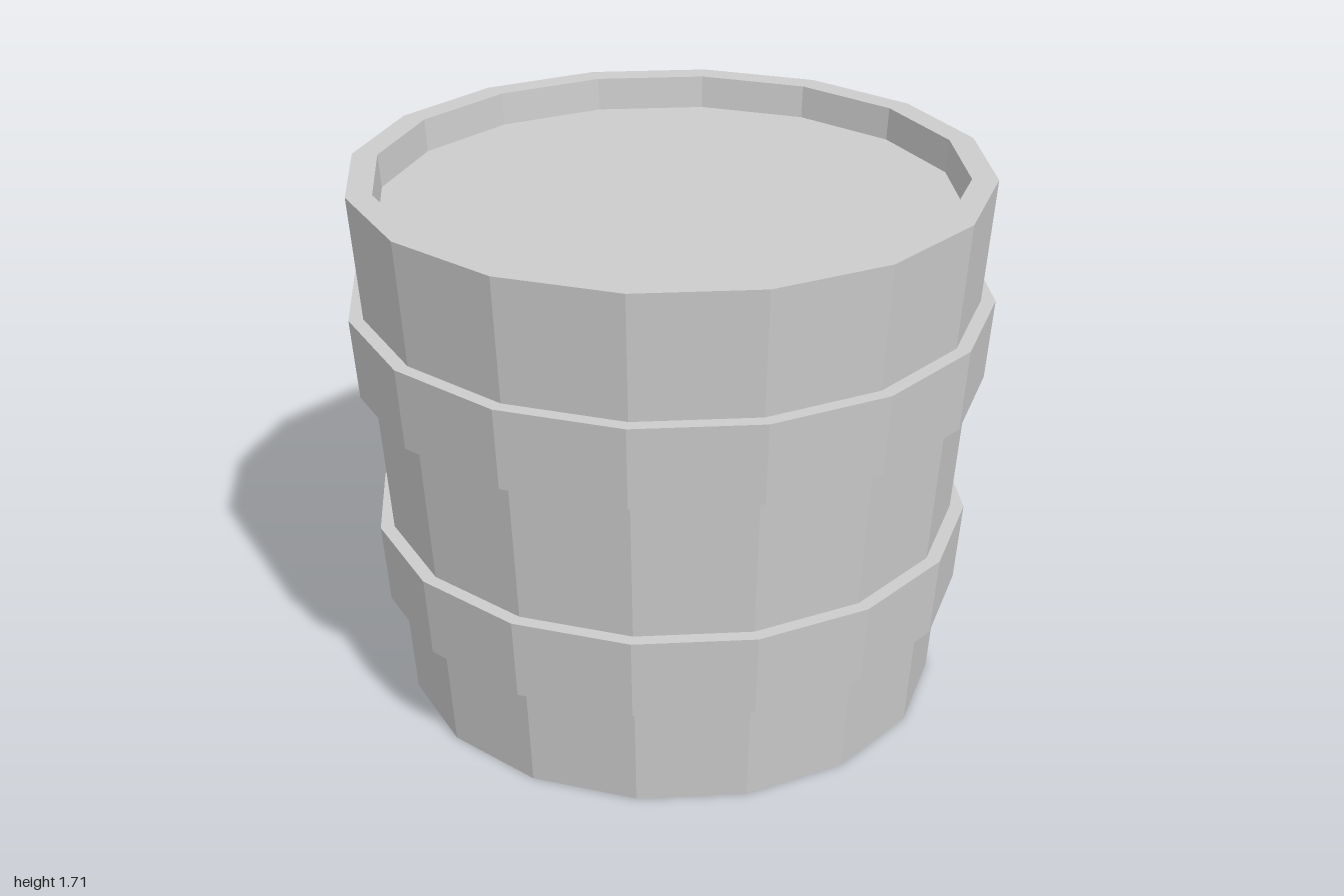
import * as THREE from 'three';

const SIDES = 16;
const HEIGHT = 1.71;
const R_BOTTOM = 0.855;
const R_TOP = 0.985;

// Outer radius of the tapered wall at height y
const wallRadius = (y) => R_BOTTOM + (R_TOP - R_BOTTOM) * (y / HEIGHT);

function lathe(name, profile, material) {
  const points = profile.map(([r, y]) => new THREE.Vector2(r, y));
  const mesh = new THREE.Mesh(new THREE.LatheGeometry(points, SIDES), material);
  mesh.name = name;
  return mesh;
}

export function createModel() {
  const group = new THREE.Group();
  group.name = 'bucket';
  const material = new THREE.MeshStandardMaterial({ color: 0xcccccc, flatShading: true });

  // Tapered staves with closed base, flat rim and inner wall
  const floorY = 1.605;
  group.add(lathe('body', [
    [0, 0], [R_BOTTOM, 0], [R_TOP, HEIGHT], [0.905, HEIGHT], [0.897, floorY],
  ], material));

  // Recessed surface just below the rim
  group.add(lathe('contents', [[0.897, floorY], [0, floorY]], material));

  // Two hoops following the taper of the wall
  const hoops = [
    { name: 'lowerHoop', y0: 0.345, y1: 0.603, r0: 0.925, r1: 0.945 },
    { name: 'upperHoop', y0: 1.063, y1: 1.32, r0: 0.98, r1: 1.0 },
  ];
  for (const { name, y0, y1, r0, r1 } of hoops) {
    const inset = 0.01;
    group.add(lathe(name, [
      [wallRadius(y0) - inset, y0], [r0, y0], [r1, y1], [wallRadius(y1) - inset, y1],
    ], material));
  }

  return group;
}
